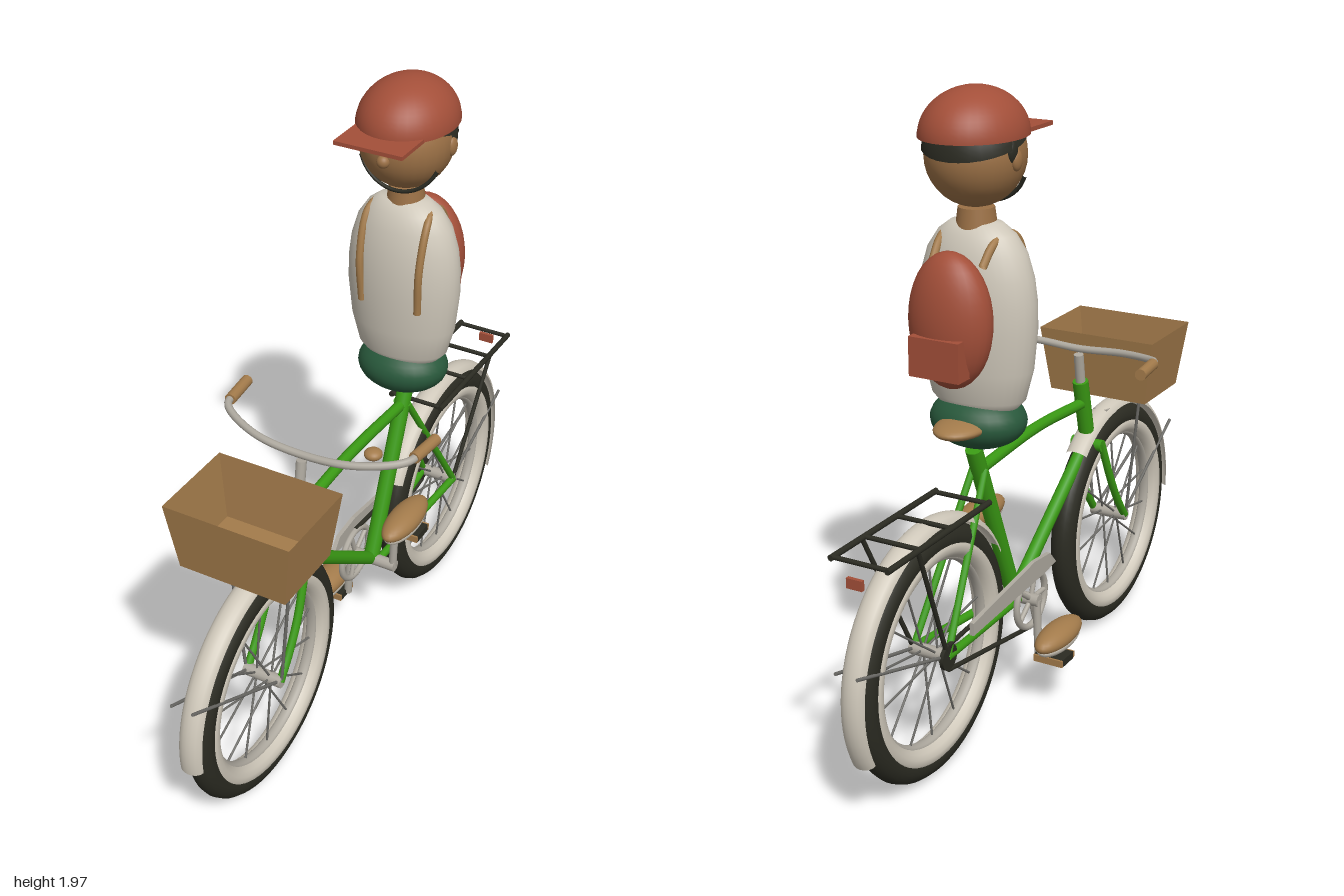
import * as THREE from 'three';

const mat = (name, color, side = THREE.FrontSide) => {
  const m = new THREE.MeshStandardMaterial({ color, side });
  m.name = name;
  return m;
};
const V = (x, y, z) => new THREE.Vector3(x, y, z);

export function createModel() {
  const root = new THREE.Group();
  root.name = 'cyclist';
  const green = mat('frame green', 0x3a9a14);
  const white = mat('off white', 0xcfc8ba, THREE.DoubleSide);
  const metal = mat('metal grey', 0xaea99f);
  const dark = mat('near black', 0x2b2b22);
  const wire = mat('wire grey', 0x6b6a66);
  const tan = mat('tan', 0xa37b4b, THREE.DoubleSide);
  const skin = mat('skin', 0x9c7146);
  const red = mat('brick red', 0xa34f39, THREE.DoubleSide);
  const pine = mat('pine green', 0x28583b);

  const add = (name, geo, m, x = 0, y = 0, z = 0, parent = root) => {
    const mesh = new THREE.Mesh(geo, m);
    mesh.name = name;
    mesh.position.set(x, y, z);
    parent.add(mesh);
    return mesh;
  };
  const ball = (name, m, x, y, z, rx, ry = rx, rz = rx) =>
    add(name, new THREE.SphereGeometry(1, 28, 18).scale(rx, ry, rz), m, x, y, z);
  const box = (name, m, x, y, z, w, h, d) => add(name, new THREE.BoxGeometry(w, h, d), m, x, y, z);
  // straight rod between two points
  const rod = (name, m, a, b, r, r2 = r, parent = root) => {
    const d = b.clone().sub(a);
    const mesh = add(name, new THREE.CylinderGeometry(r2, r, d.length(), 12), m, 0, 0, 0, parent);
    mesh.position.copy(a).addScaledVector(d, 0.5);
    mesh.quaternion.setFromUnitVectors(V(0, 1, 0), d.normalize());
    return mesh;
  };
  const bent = (name, m, pts, r, n = 32) =>
    add(name, new THREE.TubeGeometry(new THREE.CatmullRomCurve3(pts), n, r, 10), m);
  const sides = [-1, 1];

  // wheels
  const HY = 0.39, FZ = 0.583, RZ = -0.58;
  const ring = (R, r, wide) => new THREE.TorusGeometry(R, r, 14, 72).rotateY(Math.PI / 2).scale(wide, 1, 1);
  const wheel = (name, z) => {
    const g = new THREE.Group();
    g.name = name;
    g.position.set(0, HY, z);
    root.add(g);
    add('tyre', ring(0.34, 0.045, 0.92), dark, 0, 0, 0, g);
    add('whitewall', ring(0.315, 0.036, 1.22), white, 0, 0, 0, g);
    add('rim', ring(0.283, 0.011, 1.6), metal, 0, 0, 0, g);
    rod('hub', metal, V(-0.065, 0, 0), V(0.065, 0, 0), 0.02, 0.02, g);
    for (let i = 0; i < 14; i++) {
      const a = Math.PI / 2 + (i * Math.PI * 2) / 14, s = i % 2 ? 1 : -1;
      rod('spoke', wire, V(s * 0.025, 0, 0), V(0, Math.sin(a) * 0.285, Math.cos(a) * 0.285), 0.0035, 0.0035, g);
    }
  };
  wheel('frontWheel', FZ);
  wheel('rearWheel', RZ);

  // mudguards: angles in degrees from +z towards +y
  const guard = (name, z, from, to) => {
    const pts = [];
    for (let i = 0; i <= 8; i++) {
      const t = ((i / 8) * 2 - 1) * 1.45;
      pts.push(new THREE.Vector2(0.386 + 0.028 * Math.cos(t), 0.038 * Math.sin(t)));
    }
    const k = Math.PI / 180;
    add(name, new THREE.LatheGeometry(pts, 40, -to * k, (to - from) * k).rotateZ(-Math.PI / 2), white, 0, HY, z);
  };
  guard('frontMudguard', FZ, -6, 131);
  guard('rearMudguard', RZ, 28, 207);
  box('mudguardBracket', metal, 0, 0.775, 0.535, 0.05, 0.035, 0.075);
  for (const s of sides) {
    rod('frontMudguardStay', wire, V(s * 0.055, HY, FZ), V(s * 0.035, 0.6, 0.998), 0.005);
    rod('rearMudguardStay', wire, V(s * 0.055, HY, RZ), V(s * 0.035, 0.51, -0.995), 0.005);
  }

  // frame
  const BB = V(0, 0.36, -0.09), headTop = V(0, 0.935, 0.352), headLow = V(0, 0.7, 0.41);
  rod('headTube', green, headLow, headTop, 0.026);
  rod('seatTube', green, BB, V(0, 0.93, -0.325), 0.026);
  bent('topTube', green, [V(0, 0.855, 0.365), V(0, 0.873, 0.05), V(0, 0.855, -0.295)], 0.018);
  rod('downTube', green, V(0, 0.72, 0.405), BB, 0.022);
  rod('forkCrown', green, V(-0.055, 0.7, 0.41), V(0.055, 0.7, 0.41), 0.02);
  for (const s of sides) {
    bent('forkBlade', green, [V(s * 0.05, 0.71, 0.41), V(s * 0.057, 0.56, 0.472), V(s * 0.058, 0.46, 0.53), V(s * 0.058, HY, FZ)], 0.013);
    rod('seatStay', green, V(s * 0.02, 0.86, -0.295), V(s * 0.058, HY, RZ), 0.011);
    rod('chainStay', green, V(s * 0.025, 0.36, -0.09), V(s * 0.058, HY, RZ), 0.013);
  }

  // drivetrain
  rod('crankAxle', metal, V(-0.09, 0.36, -0.09), V(0.09, 0.36, -0.09), 0.02);
  add('chainring', new THREE.TorusGeometry(0.09, 0.011, 8, 40).rotateY(Math.PI / 2), metal, -0.06, 0.36, -0.09);
  for (let i = 0; i < 5; i++) {
    const a = (i * Math.PI * 2) / 5;
    rod('chainringArm', metal, V(-0.06, 0.36, -0.09), V(-0.06, 0.36 + 0.09 * Math.sin(a), -0.09 + 0.09 * Math.cos(a)), 0.008);
  }
  rod('upperChain', dark, V(-0.06, 0.455, -0.09), V(-0.06, 0.425, RZ), 0.007);
  rod('lowerChain', dark, V(-0.06, 0.265, -0.09), V(-0.06, 0.348, RZ), 0.007);
  rod('sprocket', dark, V(-0.066, HY, RZ), V(-0.054, HY, RZ), 0.04);
  const cover = new THREE.Shape([[0.04, 0.44], [0, 0.485], [-0.1, 0.495], [-0.47, 0.45], [-0.47, 0.41], [-0.05, 0.43]]
    .map(([z, y]) => new THREE.Vector2(-z, y)));
  add('chainGuard', new THREE.ExtrudeGeometry(cover, { depth: 0.014, bevelEnabled: false }).rotateY(Math.PI / 2), metal, -0.08, 0, 0);

  // cranks, pedals and shoes
  for (const s of sides) {
    const py = 0.36 + s * 0.18, x = s * 0.14;
    rod('crank', metal, V(s * 0.08, 0.36, -0.09), V(s * 0.088, py, -0.09), 0.013);
    rod('pedalAxle', metal, V(s * 0.08, py, -0.09), V(x, py, -0.09), 0.008);
    box('pedal', dark, x, py, -0.085, 0.1, 0.024, 0.07);
    for (const e of sides) box('pedalReflector', tan, x, py, -0.085 + e * 0.038, 0.1, 0.022, 0.008);
    ball('shoe', tan, x, py + 0.062, -0.055, 0.05, 0.038, 0.128);
    ball('shoeSole', white, x, py + 0.046, -0.055, 0.047, 0.034, 0.118);
  }

  // handlebar, grips and bell
  rod('stem', metal, V(0, 0.93, 0.353), V(0, 1.03, 0.337), 0.016);
  const half = [[0.315, 1.078, 0.2], [0.305, 1.078, 0.25], [0.265, 1.072, 0.285], [0.15, 1.06, 0.33]];
  bent('handlebar', metal, [...half.map(([x, y, z]) => V(-x, y, z)), V(0, 1.05, 0.337),
    ...half.slice().reverse().map(([x, y, z]) => V(x, y, z))], 0.012, 60);
  for (const s of sides) rod('grip', tan, V(s * 0.31, 1.078, 0.23), V(s * 0.322, 1.078, 0.115), 0.018);
  ball('bell', tan, 0.213, 1.1, 0.295, 0.027, 0.017, 0.027);

  // basket
  const walls = new THREE.CylinderGeometry(Math.SQRT2, 0.85 * Math.SQRT2, 0.215, 4, 1, true)
    .rotateY(Math.PI / 4).scale(0.204, 1, 0.145).toNonIndexed();
  walls.computeVertexNormals();
  add('basketWalls', walls, tan, 0, 0.953, 0.6);
  box('basketFloor', tan, 0, 0.85, 0.6, 0.345, 0.01, 0.245);
  for (const s of sides) rod('basketStay', wire, V(s * 0.062, HY, FZ), V(s * 0.108, 0.86, FZ), 0.005);

  // rear rack
  for (const s of sides) {
    rod('rackRail', dark, V(s * 0.09, 0.805, -0.39), V(s * 0.09, 0.805, -0.92), 0.009);
    rod('rackLeg', dark, V(s * 0.09, 0.8, -0.77), V(s * 0.058, HY, RZ), 0.007);
  }
  for (const z of [-0.4, -0.6, -0.76, -0.91]) rod('rackBar', dark, V(-0.09, 0.805, z), V(0.09, 0.805, z), 0.007);
  box('rearReflector', red, 0, 0.758, -0.938, 0.05, 0.03, 0.012);

  // rider's body
  ball('saddle', tan, 0, 1.02, -0.385, 0.075, 0.027, 0.108);
  ball('shorts', pine, 0, 1.018, -0.295, 0.148, 0.086, 0.123);
  const body = [[0, 1.06], [0.12, 1.06], [0.148, 1.09], [0.172, 1.18], [0.184, 1.3], [0.183, 1.38], [0.174, 1.45],
    [0.153, 1.52], [0.12, 1.57], [0.08, 1.6], [0, 1.612]].map(([r, y]) => new THREE.Vector2(r, y));
  add('torso', new THREE.LatheGeometry(body, 36).scale(1, 1, 0.63), white, 0, 0, -0.292);
  add('neck', new THREE.CylinderGeometry(0.052, 0.06, 0.06, 24), skin, 0, 1.612, -0.295);

  // backpack
  ball('backpack', red, 0, 1.348, -0.44, 0.128, 0.197, 0.086);
  box('backpackPocket', red, 0, 1.26, -0.505, 0.16, 0.115, 0.06);
  for (const s of sides) {
    bent('backpackStrap', tan, [V(s * 0.08, 1.5, -0.4), V(s * 0.085, 1.55, -0.355), V(s * 0.09, 1.575, -0.29),
      V(s * 0.1, 1.55, -0.238), V(s * 0.1, 1.42, -0.192), V(s * 0.095, 1.27, -0.196)], 0.012);
  }

  // head and face
  const CY = 1.79, CZ = -0.295;
  ball('head', skin, 0, CY, CZ, 0.142, 0.148, 0.15);
  ball('nose', skin, 0, 1.772, -0.148, 0.02);
  for (const s of sides) {
    ball('eye', dark, s * 0.05, 1.802, -0.162, 0.013);
    ball('ear', skin, s * 0.138, 1.785, -0.312, 0.014, 0.03, 0.022);
    ball('sideburn', dark, s * 0.13, 1.81, -0.325, 0.016, 0.035, 0.022);
  }
  const strap = [];
  for (let i = 0; i <= 10; i++) {
    const a = Math.PI * (1.14 + 0.072 * i), y = CY + 0.143 * Math.sin(a);
    strap.push(V(0.139 * Math.cos(a), y, -0.245 + (1.73 - y) * 0.22));
  }
  bent('chinStrap', dark, strap, 0.006);
  const hair = add('hair', new THREE.SphereGeometry(0.151, 28, 12, 0, Math.PI * 2, 0, 1.33), dark, 0, CY, CZ);
  hair.rotation.x = -0.25;

  // cap
  add('capDome', new THREE.SphereGeometry(1, 36, 14, 0, Math.PI * 2, 0, Math.PI / 2).scale(0.148, 0.135, 0.178), red, 0, 1.842, -0.302);
  box('capBrim', red, 0, 1.845, -0.125, 0.22, 0.012, 0.145);
  return root;
}
